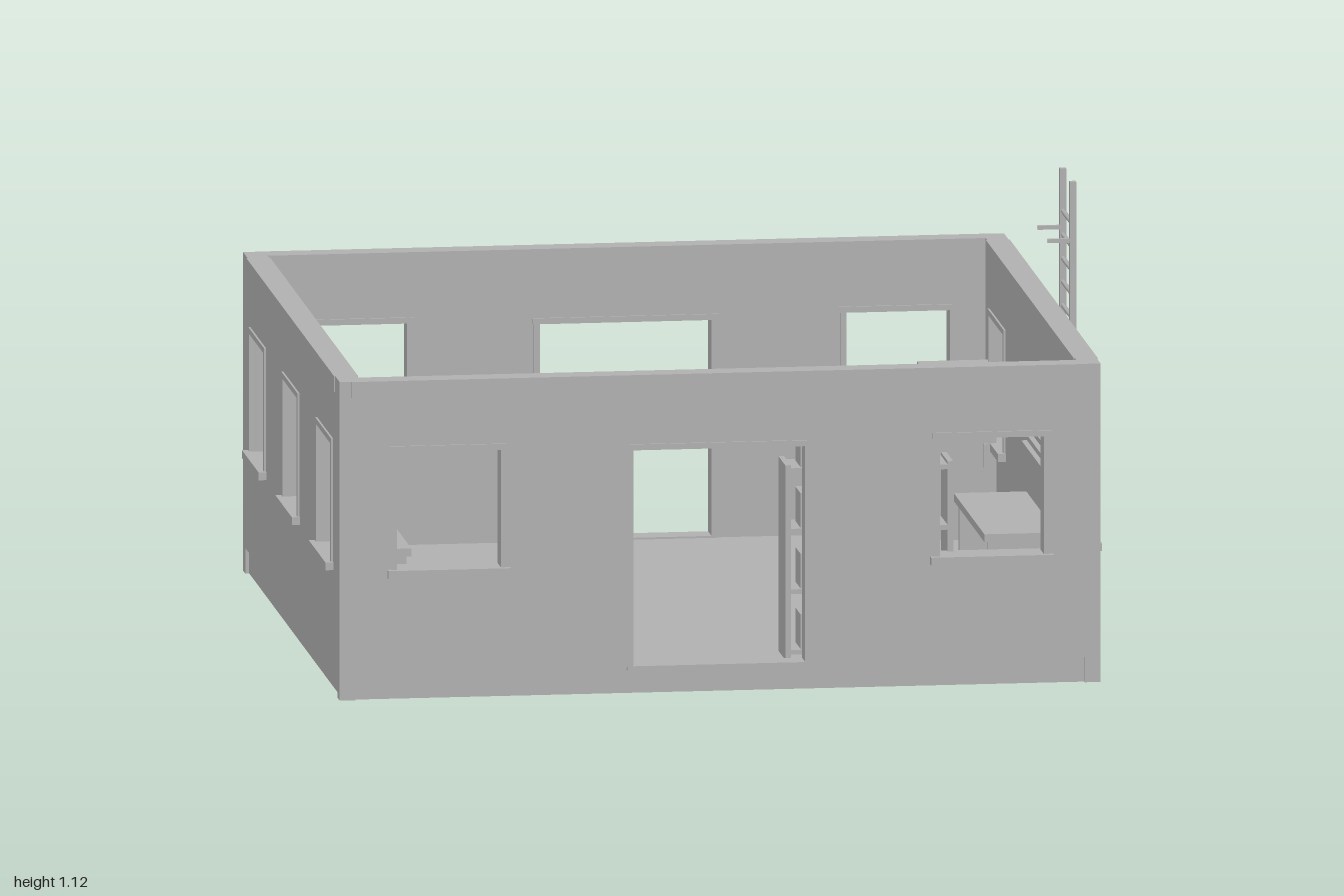
import * as THREE from 'three';

const grey = new THREE.MeshStandardMaterial({ color: 0xb2b2b2 });
grey.name = 'plain grey';

// Outer limits of the building
const X0 = -0.975, X1 = 0.945, Z0 = -0.825, Z1 = 0.975, T = 0.054, FLOOR = 0.065, TOP = 0.81;

function add(parent, name, geometry) {
  const mesh = new THREE.Mesh(geometry, grey);
  mesh.name = name;
  parent.add(mesh);
  return mesh;
}

// Box given by its limits on each axis
function block(parent, name, x0, x1, y0, y1, z0, z1) {
  const mesh = add(parent, name, new THREE.BoxGeometry(x1 - x0, y1 - y0, z1 - z0));
  mesh.position.set((x0 + x1) / 2, (y0 + y1) / 2, (z0 + z1) / 2);
  return mesh;
}

function group(parent, name) {
  const g = new THREE.Group();
  g.name = name;
  parent.add(g);
  return g;
}

// Wall drawn along u, with window holes, an optional doorway, frames and sills
function wall(parent, name, u0, u1, windows, door) {
  const g = group(parent, name);
  const shape = new THREE.Shape();
  shape.moveTo(u0, FLOOR);
  if (door) {
    shape.lineTo(door[0], FLOOR);
    shape.lineTo(door[0], 0.62);
    shape.lineTo(door[1], 0.62);
    shape.lineTo(door[1], FLOOR);
  }
  shape.lineTo(u1, FLOOR);
  shape.lineTo(u1, TOP);
  shape.lineTo(u0, TOP);
  shape.closePath();
  const openings = windows.map((c) => [c - 0.132, c + 0.132, 0.33, 0.63]);
  for (const [a, b, lo, hi] of openings) {
    const hole = new THREE.Path();
    hole.moveTo(a, lo);
    hole.lineTo(a, hi);
    hole.lineTo(b, hi);
    hole.lineTo(b, lo);
    hole.closePath();
    shape.holes.push(hole);
    block(g, 'windowSill', a - 0.023, b + 0.023, 0.31, 0.33, -0.047, 0.047);
  }
  if (door) openings.push([door[0], door[1], FLOOR, 0.62]);
  const d = T / 2 + 0.005;
  for (const [a, b, lo, hi] of openings) {
    block(g, 'frameSide', a - 0.014, a + 0.001, lo, hi, -d, d);
    block(g, 'frameSide', b - 0.001, b + 0.014, lo, hi, -d, d);
    block(g, 'frameHead', a - 0.018, b + 0.018, hi - 0.001, hi + 0.014, -d, d);
  }
  if (door) block(g, 'threshold', door[0] - 0.015, door[1] + 0.015, FLOOR - 0.005, FLOOR + 0.005, -d, d);
  const geometry = new THREE.ExtrudeGeometry(shape, { depth: T, bevelEnabled: false });
  geometry.translate(0, 0, -T / 2);
  add(g, 'wallPanel', geometry);
  block(g, 'topBand', u0 + 0.03, u1 - 0.03, 0.77, TOP, -T / 2 - 0.003, T / 2 + 0.003);
  return g;
}

function buildShell(model) {
  const shell = group(model, 'shell');
  block(shell, 'floorSlab', X0 + 0.01, X1 - 0.01, 0, FLOOR, Z0 + 0.01, Z1 - 0.01);
  for (const x of [X0, X1 - 0.04])
    for (const z of [Z0, Z1 - 0.04]) block(shell, 'cornerFoot', x, x + 0.04, 0, FLOOR, z, z + 0.04);
  const door = [-0.235, 0.2];
  wall(shell, 'frontWall', X0, X1, [-0.7, 0.67], door).position.z = Z1 - T / 2;
  wall(shell, 'backWall', X0, X1, [-0.7, 0.67], door).position.z = Z0 + T / 2;
  const sides = [
    ['rightWall', X0 + T / 2, [-0.545, 0.075, 0.7]],
    ['leftWall', X1 - T / 2, [-0.545, 0.7]],
  ];
  for (const [name, x, windows] of sides) {
    const side = wall(shell, name, Z0 + T, Z1 - T, windows);
    side.rotation.y = -Math.PI / 2;
    side.position.x = x;
  }
}

// Canopy over the back door with triangular brackets
function buildCanopy(model) {
  const canopy = group(model, 'canopy');
  block(canopy, 'canopyRoof', -0.32, 0.29, 0.68, 0.706, -1, Z0);
  for (const x of [-0.3, 0.26]) {
    block(canopy, 'bracketUpright', x, x + 0.012, 0.605, 0.68, Z0 - 0.012, Z0);
    const strut = add(canopy, 'bracketStrut', new THREE.BoxGeometry(0.012, 0.012, 0.158));
    strut.position.set(x + 0.006, 0.647, -0.9);
    strut.rotation.x = Math.atan2(0.065, 0.14);
  }
}

function buildLadder(model) {
  const ladder = group(model, 'ladder');
  for (const z of [-0.011, 0.174]) {
    block(ladder, 'ladderRail', 0.975, 0.991, 0.01, 1.125, z - 0.008, z + 0.008);
    for (const y of [0.075, 0.3, 0.525, 0.75, 0.975])
      block(ladder, 'standoff', y > 0.9 ? 0.92 : 0.94, 0.98, y - 0.005, y + 0.005, z - 0.005, z + 0.005);
  }
  for (let i = 0; i < 17; i++) {
    const rung = add(ladder, 'ladderRung', new THREE.CylinderGeometry(0.006, 0.006, 0.185, 8));
    rung.rotation.x = Math.PI / 2;
    rung.position.set(0.983, 0.057 + i * 0.06, 0.082);
  }
}

// Tall cabinet with a door, handle, vented back and short feet
function cabinet(model, x) {
  const g = group(model, 'cabinet');
  block(g, 'cabinetBody', x, x + 0.178, 0.085, 0.512, -0.708, -0.545);
  block(g, 'cabinetDoor', x + 0.01, x + 0.168, 0.1, 0.5, -0.545, -0.54);
  block(g, 'cabinetHandle', x + 0.145, x + 0.155, 0.27, 0.33, -0.54, -0.53);
  for (const y of [0.4, 0.425, 0.45]) block(g, 'cabinetVent', x + 0.03, x + 0.14, y, y + 0.01, -0.718, -0.708);
  for (const fx of [x + 0.01, x + 0.148])
    for (const z of [-0.7, -0.573]) block(g, 'cabinetFoot', fx, fx + 0.02, FLOOR, 0.085, z, z + 0.02);
}

function desk(model, x) {
  const g = group(model, 'desk');
  block(g, 'deskTop', x, x + 0.183, 0.285, 0.305, -0.01, 0.56);
  for (const z of [0.005, 0.53]) block(g, 'deskSide', x + 0.01, x + 0.173, FLOOR, 0.285, z, z + 0.015);
}

// Storage rack with a carton in every bay
function buildRack(model) {
  const rack = group(model, 'storageRack');
  for (const x of [0.157, 0.567]) block(rack, 'rackSide', x, x + 0.014, FLOOR, 0.56, 0.79, 0.918);
  for (let row = 0; row < 4; row++) {
    const y = 0.078 + row * 0.154;
    block(rack, 'rackShelf', 0.171, 0.567, y, y + 0.012, 0.792, 0.918);
    for (let col = 0; col < 3; col++) {
      const x = 0.197 + col * 0.132;
      block(rack, 'carton', x, x + 0.08, y + 0.012, y + 0.1, 0.81, 0.905);
    }
  }
}

export function createModel() {
  const model = new THREE.Group();
  model.name = 'openRoofBuilding';
  buildShell(model);
  buildCanopy(model);
  buildLadder(model);
  cabinet(model, -0.92);
  cabinet(model, 0.71);
  desk(model, -0.921);
  desk(model, 0.708);
  buildRack(model);

  // Louvres on the inside of the left wall
  const vent = group(model, 'wallVent');
  for (let i = 0; i < 4; i++) {
    const y = 0.425 + i * 0.033;
    block(vent, 'louvre', 0.877, X1 - T, y, y + 0.012, 0, 0.43);
  }

  // Small floor stand beside the desk
  const stand = group(model, 'floorStand');
  const base = add(stand, 'standBase', new THREE.CylinderGeometry(0.052, 0.052, 0.012, 24));
  base.position.set(-0.75, FLOOR + 0.006, -0.025);
  const pole = add(stand, 'standPole', new THREE.CylinderGeometry(0.008, 0.008, 0.26, 10));
  pole.position.set(-0.75, 0.207, -0.025);
  return model;
}
